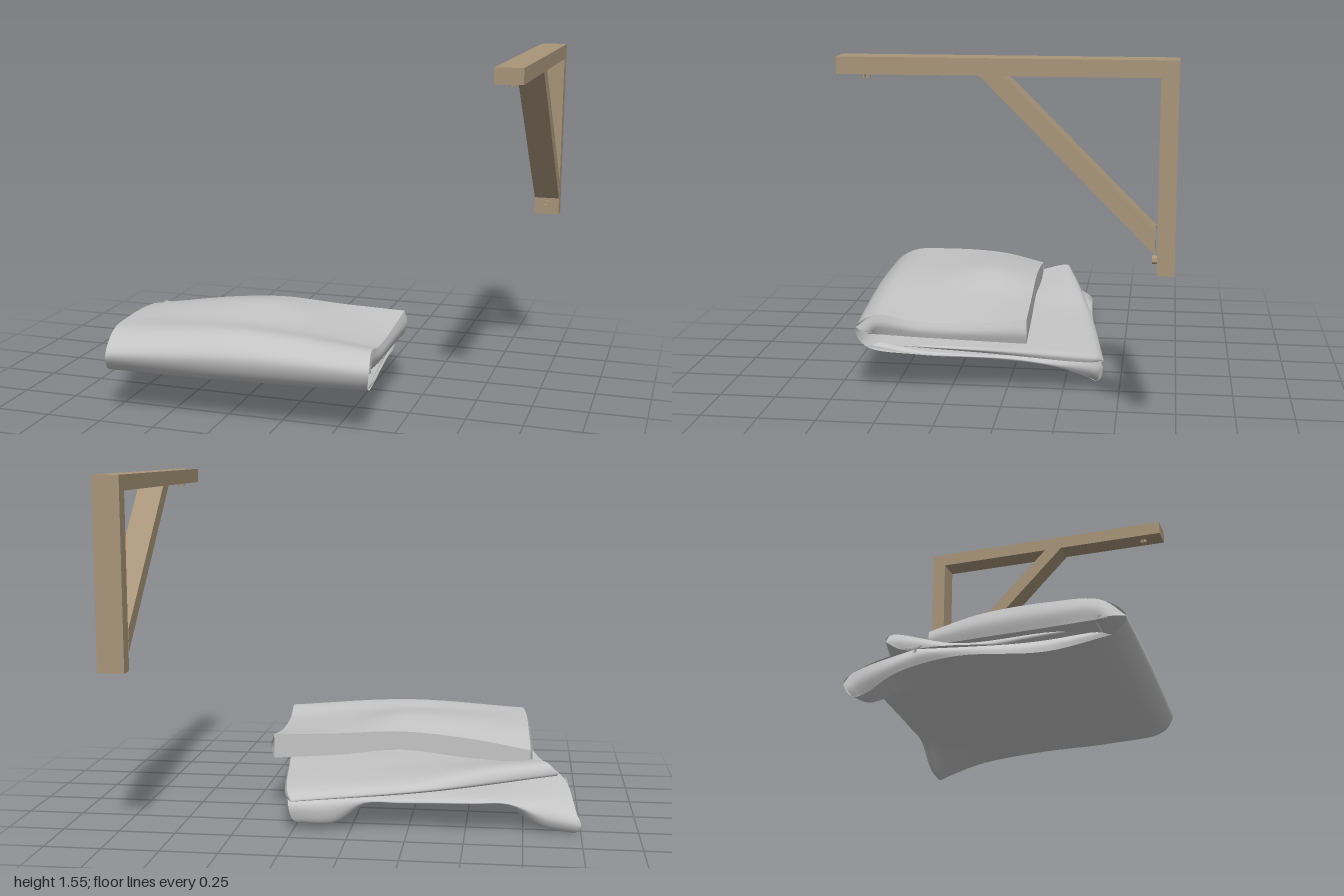
import * as THREE from 'three';

const wood = new THREE.MeshStandardMaterial({ color: 0xa8957a });
wood.name = 'wood';
const cloth = new THREE.MeshStandardMaterial({ color: 0xc4c4c4, side: THREE.DoubleSide });
cloth.name = 'grey cloth';

// One fold line across the cloth: its two ends, heights across the width, and a bow in z
function line(x0, x1, z0, z1, ys, bow = 0) {
  return ys.map((y, i) => {
    const t = i / (ys.length - 1);
    return new THREE.Vector3(x0 + (x1 - x0) * t, y, z0 + (z1 - z0) * t + bow * 4 * t * (1 - t));
  });
}

// Fold line whose two ends hang down as corner tabs
function tabLine(x0, x1, z0, z1, high, lowRight, lowLeft) {
  const ys = Array.from({ length: 9 }, (_, i) => (i < 2 ? lowRight + i * 0.03 : i > 6 ? lowLeft : high));
  return line(x0, x1, z0, z1, ys, 0.02);
}

// Smooth surface through rows of points
function loft(rows, nu, nv) {
  const sample = (pts, n) => {
    const curve = new THREE.CatmullRomCurve3(pts, false, 'centripetal');
    return Array.from({ length: n + 1 }, (_, i) => curve.getPoint(i / n));
  };
  const across = rows.map((r) => sample(r, nu));
  const pos = [], index = [];
  for (let i = 0; i <= nu; i++) {
    sample(across.map((r) => r[i]), nv).forEach((p) => pos.push(p.x, Math.max(p.y, 0), p.z));
  }
  for (let i = 0; i < nu; i++) {
    for (let j = 0; j < nv; j++) {
      const a = i * (nv + 1) + j, b = a + nv + 1;
      index.push(a, a + 1, b, b, a + 1, b + 1);
    }
  }
  const g = new THREE.BufferGeometry();
  g.setAttribute('position', new THREE.Float32BufferAttribute(pos, 3));
  g.setIndex(index);
  g.computeVertexNormals();
  return g;
}

function add(parent, name, geometry, material) {
  const m = new THREE.Mesh(geometry, material);
  m.name = name;
  parent.add(m);
  return m;
}

function foldedCloth() {
  const group = new THREE.Group();
  group.name = 'foldedCloth';

  // Outer layer: top flap, round the front fold, along the underside, up at the back
  const A = [
    line(-0.78, 0.385, -0.06, -0.10, [0.31, 0.36, 0.385, 0.37, 0.36]),
    line(-0.77, 0.385, 0.15, 0.12, [0.36, 0.40, 0.42, 0.37, 0.335]),
    line(-0.76, 0.395, 0.42, 0.38, [0.375, 0.395, 0.335]),
    line(-0.74, 0.41, 0.62, 0.56, [0.365, 0.40, 0.365]),
    line(-0.73, 0.425, 0.715, 0.65, [0.29, 0.32, 0.31]),
    line(-0.75, 0.41, 0.66, 0.61, [0.21, 0.21, 0.22]),
    line(-0.81, 0.38, 0.42, 0.38, [0.15, 0.16, 0.18]),
    line(-0.92, 0.33, 0.10, 0.05, [0.13, 0.14, 0.155]),
    tabLine(-0.95, 0.30, -0.12, -0.22, 0.12, 0.08, 0.12),
    tabLine(-0.95, 0.25, -0.25, -0.36, 0.12, 0.01, 0.06),
    tabLine(-0.97, 0.22, -0.285, -0.395, 0.12, 0, 0.035),
    tabLine(-1.00, 0.25, -0.31, -0.42, 0.13, 0.04, 0.065),
    tabLine(-0.98, 0.265, -0.28, -0.42, 0.145, 0.09, 0.13),
    line(-0.94, 0.30, -0.05, -0.10, [0.17, 0.17, 0.165]),
    line(-0.80, 0.36, 0.35, 0.35, [0.20, 0.18, 0.19]),
    line(-0.75, 0.38, 0.58, 0.55, [0.23, 0.23, 0.23]),
  ];
  add(group, 'outerClothLayer', loft(A, 40, 100), cloth);

  // Inner layer: middle fold with its back lip, then the underside of the flap
  const M = [
    line(-0.75, 0.38, 0.55, 0.52, [0.23, 0.21, 0.22]),
    line(-0.77, 0.33, 0.10, 0.05, [0.21, 0.19, 0.18]),
    line(-0.85, 0.28, -0.15, -0.37, [0.22, 0.16, 0.14], -0.02),
    line(-0.90, 0.25, -0.19, -0.43, [0.235, 0.18, 0.14], -0.025),
    line(-0.86, 0.27, -0.18, -0.40, [0.28, 0.255, 0.21, 0.19, 0.17], -0.02),
    line(-0.77, 0.33, 0.05, 0.00, [0.25, 0.22, 0.205]),
    line(-0.76, 0.37, 0.40, 0.38, [0.25, 0.23, 0.22]),
    line(-0.75, 0.39, 0.60, 0.57, [0.28, 0.28, 0.27]),
    line(-0.76, 0.395, 0.42, 0.38, [0.27, 0.27, 0.265]),
    line(-0.77, 0.385, 0.15, 0.12, [0.26, 0.27, 0.255]),
    line(-0.78, 0.385, -0.06, -0.10, [0.25, 0.27, 0.30, 0.27, 0.25]),
  ];
  add(group, 'innerClothLayer', loft(M, 28, 80), cloth);

  // Hem joining the two skins of the flap at the back
  add(group, 'flapHem', loft([A[0], M[10]], 28, 2), cloth);

  // Rounded side edges of each folded layer
  const edges = {
    flapEdge: [[A[0], M[10]], [A[1], M[9]], [A[2], M[8]], [A[3], M[7]], [A[4], M[7]]],
    middleEdge: [[M[6], M[0]], [M[5], M[1]], [M[4], M[2]], [M[3], M[3]]],
    bottomEdge: [[A[5], A[15]], [A[6], A[14]], [A[7], A[13]], [A[8], A[13]], [A[9], A[12]], [A[10], A[11]]],
  };
  for (const [name, pairs] of Object.entries(edges)) {
    for (const side of [0, -1]) {
      const rows = pairs.map(([p, q]) => {
        const a = p.at(side), b = q.at(side);
        const mid = a.clone().lerp(b, 0.5);
        mid.x += (side ? 1 : -1) * Math.min(0.015, a.distanceTo(b) * 0.15);
        return [a, mid, b];
      });
      add(group, name + (side ? 'Left' : 'Right'), loft(rows, 6, 30), cloth);
    }
  }
  return group;
}

// Screw head made of two half discs with a slot between them
function screw(name) {
  const group = new THREE.Group();
  group.name = name;
  for (const s of [0, Math.PI]) {
    const half = new THREE.Shape();
    half.absarc(0, 0, 0.014, 0, Math.PI, false);
    const g = new THREE.ExtrudeGeometry(half, { depth: 0.018, bevelEnabled: false, curveSegments: 8 });
    g.translate(0, 0.003, 0).rotateZ(s);
    add(group, 'screwHalf', g, wood);
  }
  return group;
}

function bracket() {
  const group = new THREE.Group();
  group.name = 'woodenBracket';
  const x = 0.9425, w = 0.115;
  add(group, 'beam', new THREE.BoxGeometry(w, 0.065, 1.275), wood).position.set(x, 1.5175, -0.0875);
  add(group, 'post', new THREE.BoxGeometry(w, 0.745, 0.067), wood).position.set(x, 1.1125, -0.6915);

  // Diagonal brace with mitred ends
  const shape = new THREE.Shape([[-0.01, 1.485], [0.652, 0.82], [0.652, 0.915], [0.08, 1.485]]
    .map(([a, b]) => new THREE.Vector2(a, b)));
  const g = new THREE.ExtrudeGeometry(shape, { depth: w, bevelEnabled: false });
  g.rotateY(Math.PI / 2);
  add(group, 'brace', g, wood).position.x = x - w / 2;

  const low = screw('postScrew');
  low.position.set(x, 0.79, -0.658);
  const high = screw('beamScrew');
  high.rotation.x = Math.PI / 2;
  high.position.set(x, 1.485, 0.45);
  group.add(low, high);
  return group;
}

export function createModel() {
  const model = new THREE.Group();
  model.name = 'clothAndBracket';
  model.add(foldedCloth(), bracket());
  return model;
}
